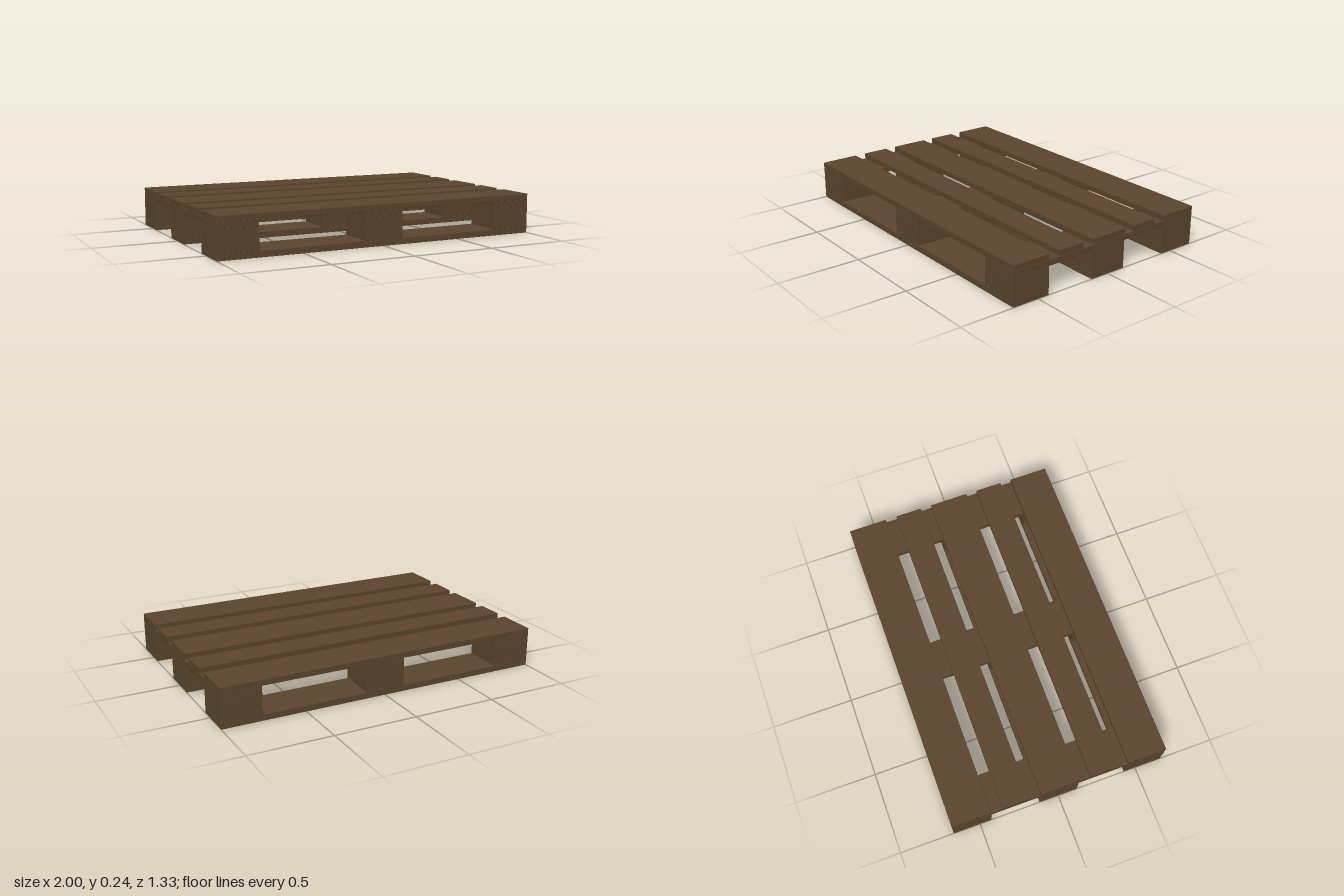
import * as THREE from 'three';
import { RoundedBoxGeometry } from 'three/addons/geometries/RoundedBoxGeometry.js';

export function createModel() {
  const pallet = new THREE.Group();
  pallet.name = 'pallet';
  const wood = new THREE.MeshStandardMaterial({ color: 0x5a452e });
  wood.name = 'brown wood';

  // A plank with slightly eased edges, placed by its bottom and top heights
  function plank(name, x, z, width, depth, bottom, top) {
    const geometry = new RoundedBoxGeometry(width, top - bottom, depth, 1, 0.002);
    const mesh = new THREE.Mesh(geometry, wood);
    mesh.name = name;
    mesh.position.set(x, (bottom + top) / 2, z);
    pallet.add(mesh);
  }

  const wide = 0.24, narrow = 0.166;
  const columns = [-0.88, 0, 0.88];
  const rows = [-0.547, 0, 0.547];

  // Bottom runners and the blocks standing on them
  for (const z of rows) {
    plank('bottomBoard', 0, z, 2, wide, 0, 0.037);
    for (const x of columns) plank('block', x, z, wide, wide, 0.037, 0.169);
  }

  // Cross boards resting on the blocks
  for (const x of columns) plank('crossBoard', x, 0, wide, 1.334, 0.169, 0.205);

  // Deck boards, alternating wide and narrow, with nail heads over the cross boards
  const nail = new THREE.CylinderGeometry(0.006, 0.006, 0.004, 8);
  [-0.547, -0.273, 0, 0.273, 0.547].forEach((z, i) => {
    const depth = i % 2 ? narrow : wide;
    plank('deckBoard', 0, z, 2, depth, 0.205, 0.24);
    for (const x of columns) {
      for (const side of [-1, 1]) {
        const head = new THREE.Mesh(nail, wood);
        head.name = 'nailHead';
        head.position.set(x + side * 0.06, 0.239, z + side * depth * 0.26);
        pallet.add(head);
      }
    }
  });

  return pallet;
}
